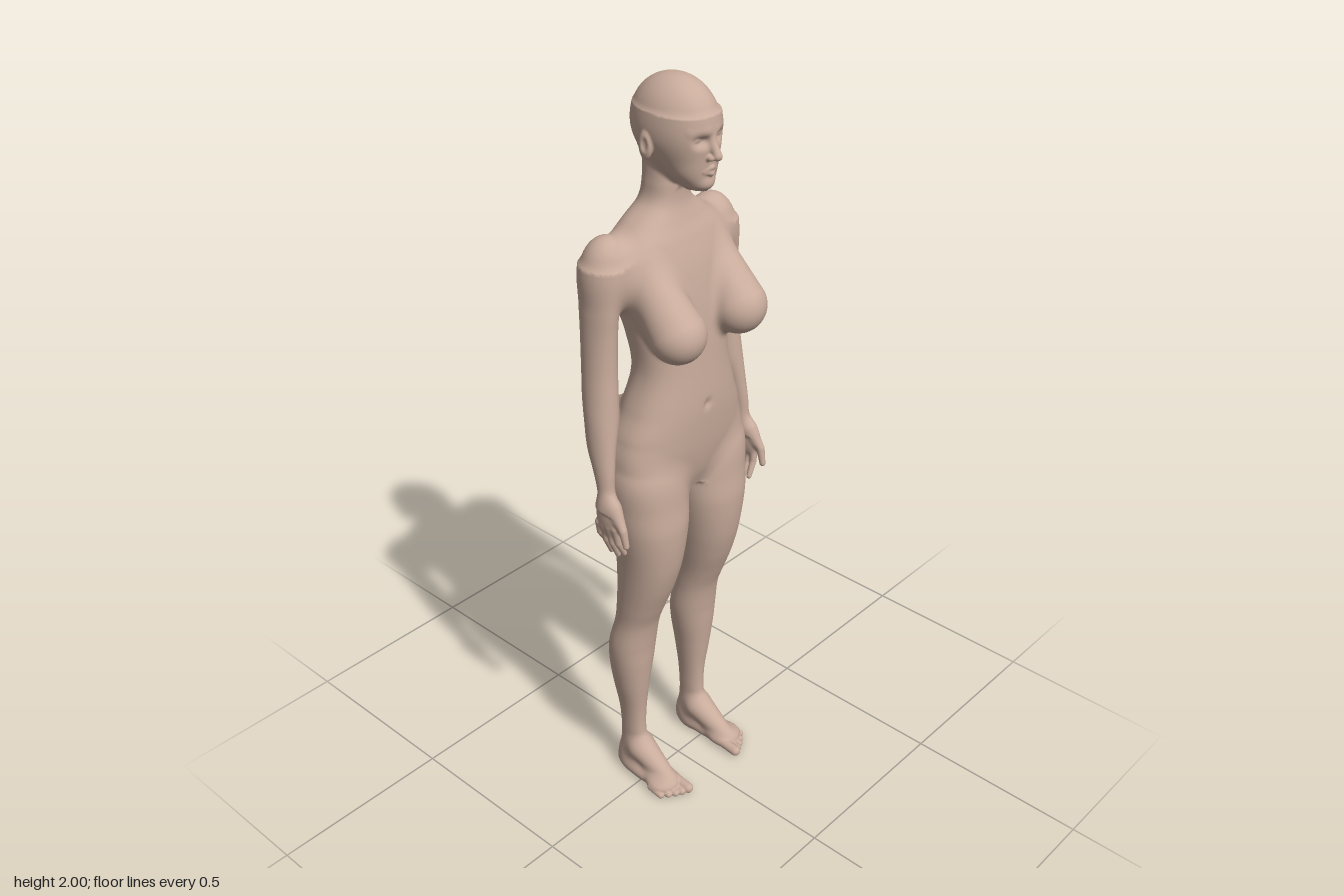
import * as THREE from 'three';

// ---- field helpers: negative inside, positive outside ----
const smin = (a, b, k) => { const h = Math.max(k - Math.abs(a - b), 0) / k; return Math.min(a, b) - h * h * k / 4; };
const smax = (a, b, k) => -smin(-a, -b, k);
const gauss = (t) => Math.exp(-t * t);

const ellipsoid = (x, y, z, c, r) => {
  const u = (x - c[0]) / r[0], v = (y - c[1]) / r[1], w = (z - c[2]) / r[2];
  const k = Math.hypot(u, v, w);
  return k * (k - 1) / (Math.hypot(u / r[0], v / r[1], w / r[2]) + 1e-6);
};

// Tapered capsule from a (radius ra) to b (radius rb)
const cone = (x, y, z, a, b, ra, rb) => {
  const dx = b[0] - a[0], dy = b[1] - a[1], dz = b[2] - a[2];
  const px = x - a[0], py = y - a[1], pz = z - a[2];
  const t = Math.min(1, Math.max(0, (px * dx + py * dy + pz * dz) / (dx * dx + dy * dy + dz * dz)));
  return Math.hypot(px - dx * t, py - dy * t, pz - dz * t) - ra - (rb - ra) * t;
};

// Upright loft through rows of [y, xInner, xOuter, zFront, zBack], rising in y
function loft(rows, n = 2) {
  const slope = rows.map((r, i) => {
    const a = rows[Math.max(i - 1, 0)], b = rows[Math.min(i + 1, rows.length - 1)];
    return r.map((_, c) => (b[c] - a[c]) / (b[0] - a[0]));
  });
  const lo = rows[0][0], hi = rows[rows.length - 1][0], s = [0, 0, 0, 0, 0];
  return (x, y, z) => {
    const yc = Math.min(hi, Math.max(lo, y));
    let i = 0;
    while (i < rows.length - 2 && yc > rows[i + 1][0]) i++;
    const L = rows[i + 1][0] - rows[i][0], t = (yc - rows[i][0]) / L, t2 = t * t, t3 = t2 * t;
    for (let c = 1; c < 5; c++) {
      s[c] = (2 * t3 - 3 * t2 + 1) * rows[i][c] + (t3 - 2 * t2 + t) * L * slope[i][c]
        + (3 * t2 - 2 * t3) * rows[i + 1][c] + (t3 - t2) * L * slope[i + 1][c];
    }
    const rx = (s[2] - s[1]) / 2, rz = (s[3] - s[4]) / 2;
    const u = Math.abs(x - (s[1] + s[2]) / 2) / rx, w = Math.abs(z - (s[3] + s[4]) / 2) / rz;
    const q = n === 2 ? Math.hypot(u, w) : Math.pow(Math.pow(u, n) + Math.pow(w, n), 1 / n);
    return Math.max(q * (q - 1) / (Math.hypot(u / rx, w / rz) + 1e-6), y - hi, lo - y);
  };
}

const centred = (rows) => rows.map(([y, rx, f, b]) => [y, -rx, rx, f, b]);

const torso = loft(centred([
  [0.95, 0.06, 0.06, -0.07], [1.0, 0.14, 0.078, -0.09], [1.06, 0.198, 0.09, -0.1], [1.13, 0.193, 0.097, -0.11],
  [1.2, 0.165, 0.1, -0.1], [1.3, 0.136, 0.095, -0.082], [1.4, 0.145, 0.088, -0.098], [1.48, 0.165, 0.078, -0.118],
  [1.56, 0.182, 0.062, -0.134], [1.62, 0.165, 0.042, -0.127], [1.66, 0.115, 0.025, -0.115],
  [1.7, 0.066, 0.013, -0.098], [1.75, 0.054, 0.012, -0.09], [1.82, 0.052, 0.01, -0.09]]), 2.3);

const leg = loft([
  [0.03, 0.1, 0.145, 0, -0.1], [0.08, 0.095, 0.147, -0.005, -0.1], [0.14, 0.094, 0.147, -0.018, -0.096],
  [0.22, 0.09, 0.152, -0.018, -0.1], [0.32, 0.078, 0.17, -0.008, -0.112], [0.4, 0.064, 0.182, 0, -0.118],
  [0.46, 0.057, 0.185, 0.005, -0.115], [0.54, 0.058, 0.178, 0.018, -0.095], [0.6, 0.055, 0.18, 0.04, -0.088],
  [0.68, 0.043, 0.185, 0.07, -0.085], [0.76, 0.03, 0.192, 0.09, -0.085], [0.865, 0.014, 0.206, 0.1, -0.088],
  [0.93, 0.007, 0.212, 0.096, -0.1], [1.02, 0.006, 0.215, 0.088, -0.1], [1.1, 0.03, 0.19, 0.06, -0.09],
  [1.16, 0.06, 0.15, 0.04, -0.07]], 2.15);

const arm = loft([
  [0.98, 0.234, 0.277, 0.03, -0.028], [1.02, 0.232, 0.272, 0.018, -0.03], [1.07, 0.226, 0.271, 0.015, -0.045],
  [1.13, 0.21, 0.27, 0.01, -0.07], [1.2, 0.188, 0.267, 0.005, -0.085], [1.26, 0.182, 0.262, 0, -0.095],
  [1.33, 0.178, 0.256, -0.005, -0.1], [1.42, 0.175, 0.251, -0.005, -0.105], [1.5, 0.168, 0.248, 0, -0.11],
  [1.58, 0.14, 0.24, 0, -0.11]]);

const face = loft(centred([
  [1.748, 0.024, 0.084, 0.02], [1.762, 0.038, 0.094, 0], [1.79, 0.056, 0.099, -0.03],
  [1.83, 0.069, 0.103, -0.075], [1.87, 0.078, 0.102, -0.1], [1.92, 0.078, 0.1, -0.1]]), 2.2);

function head(x, y, z) {
  let d = smin(face(x, y, z), ellipsoid(x, y, z, [0, 1.89, -0.009], [0.085, 0.109, 0.114]), 0.02);
  d = smax(d, -ellipsoid(x, y, z, [0.034, 1.872, 0.112], [0.023, 0.013, 0.022]), 0.016);                   // eye sockets
  d = smin(d, cone(x, y, z, [0.012, 1.893, 0.094], [0.045, 1.893, 0.077], 0.008, 0.006), 0.014);           // brow
  d = smin(d, ellipsoid(x, y, z, [0.033, 1.875, 0.076], [0.015, 0.012, 0.016]), 0.003);                    // eyes
  d = smin(d, cone(x, y, z, [0, 1.882, 0.097], [0, 1.836, 0.118], 0.007, 0.011), 0.01);                    // nose
  d = smin(d, ellipsoid(x, y, z, [0.012, 1.832, 0.107], [0.007, 0.007, 0.01]), 0.006);
  d = smin(d, cone(x, y, z, [0, 1.806, 0.102], [0.02, 1.8, 0.094], 0.006, 0.003), 0.005);                  // lips
  d = smin(d, cone(x, y, z, [0, 1.793, 0.101], [0.018, 1.797, 0.094], 0.007, 0.003), 0.005);
  d = smax(d, -cone(x, y, z, [0, 1.8, 0.112], [0.021, 1.799, 0.102], 0.003, 0.002), 0.004);
  d = smin(d, ellipsoid(x, y, z, [0, 1.767, 0.085], [0.018, 0.014, 0.014]), 0.015);                        // chin
  const ear = smax(ellipsoid(x, y, z, [0.085, 1.85, -0.02], [0.011, 0.033, 0.019]),
    -ellipsoid(x, y, z, [0.098, 1.855, -0.016], [0.008, 0.018, 0.01]), 0.004);
  return smin(d, ear, 0.006);
}

function hand(x, y, z) {
  let d = ellipsoid(x, y, z, [0.258, 0.955, 0.008], [0.019, 0.056, 0.04]);
  const reach = [0.85, 0.836, 0.84, 0.866];
  for (let i = 0; i < 4; i++) {                                                                            // fingers
    const kz = 0.034 - i * 0.019, tz = 0.038 - i * 0.022, tip = reach[i];
    const mid = [0.257, (0.925 + tip) / 2, (kz + tz) / 2];
    const f = Math.min(cone(x, y, z, [0.263, 0.93, kz], mid, 0.0105, 0.009), cone(x, y, z, mid, [0.239, tip, tz], 0.009, 0.007));
    d = smin(d, f, 0.006);
  }
  const thumb = Math.min(cone(x, y, z, [0.256, 0.985, 0.025], [0.261, 0.935, 0.057], 0.016, 0.011),
    cone(x, y, z, [0.261, 0.935, 0.057], [0.26, 0.893, 0.066], 0.011, 0.008));
  return smin(d, thumb, 0.01);
}

function foot(x, y, z) {
  let d = cone(x, y, z, [0.12, 0.085, -0.03], [0.122, 0.03, 0.07], 0.04, 0.025);                           // instep
  d = smin(d, ellipsoid(x, y, z, [0.12, 0.04, -0.06], [0.034, 0.052, 0.046]), 0.02);                       // heel
  d = smin(d, ellipsoid(x, y, z, [0.127, 0.018, 0.0], [0.037, 0.028, 0.1]), 0.02);                         // sole
  d = smin(d, ellipsoid(x, y, z, [0.131, 0.02, 0.062], [0.046, 0.023, 0.045]), 0.015);                     // ball
  for (let i = 0; i < 5; i++) {                                                                            // toes
    const r = i ? 0.0105 - i * 0.0005 : 0.0145, tx = 0.101 + 0.0168 * i + (i ? 0.002 : 0);
    d = smin(d, cone(x, y, z, [tx, r + 0.006, 0.075 - i * 0.006], [tx, r, 0.13 - i * 0.005 - i * i * 0.0012], r, r), 0.005);
  }
  return d;
}

// Whole figure, mirrored about x = 0
function figure(px, y, z) {
  const x = Math.abs(px);
  let d = 1;
  if (y > 0.9) {
    d = torso(x, y, z);
    if (z < -0.02) d += 0.014 * gauss(x / 0.024) * gauss((y - 1.42) / 0.16);                               // spine groove
    else d += 0.006 * gauss(x / 0.012) * gauss((y - 1.2) / 0.012);                                         // navel
    d = smin(d, cone(x, y, z, [0.11, 1.56, -0.01], [0.108, 1.428, 0.097], 0.052, 0.07), 0.025);            // bust
    d = smin(d, ellipsoid(x, y, z, [0.092, 1.075, -0.065], [0.102, 0.12, 0.102]), 0.022);                  // seat
  }
  if (y < 1.25) d = smin(d, leg(x, y, z), 0.02);
  if (y < 0.2) d = Math.max(smin(d, foot(x, y, z), 0.02), -y);
  if (y > 1.68) d = smin(d, head(x, y, z), 0.02);
  if (y > 0.75) {
    let a = arm(x, y, z);
    if (y > 1.35) a = smin(a, ellipsoid(x, y, z, [0.178, 1.565, -0.058], [0.066, 0.088, 0.062]), 0.03);    // shoulder
    if (y < 1.08) a = smin(a, hand(x, y, z), 0.02);
    d = smin(d, a, 0.001 + 0.03 * Math.min(1, Math.max(0, (y - 1.36) / 0.12)));
  }
  return d;
}

const gradient = (p, e = 0.001) => [0, 1, 2].map((a) => {
  const u = [...p], v = [...p];
  u[a] += e; v[a] -= e;
  return (figure(...u) - figure(...v)) / (2 * e);
});

// Wraps the figure inside a box with a smooth quad mesh of cell size h
function skin(min, max, h, skip = () => false) {
  const n = min.map((m, a) => Math.ceil((max[a] - m) / h) + 1), step = [1, n[0], n[0] * n[1]];
  const val = new Float32Array(n[0] * n[1] * n[2]), id = new Int32Array(val.length).fill(-1);
  const pos = [], nor = [], index = [];
  const each = (fn) => {
    for (let k = 0, o = 0; k < n[2]; k++) for (let j = 0; j < n[1]; j++) for (let i = 0; i < n[0]; i++, o++) fn(o, [i, j, k]);
  };
  each((o, c) => { val[o] = figure(min[0] + c[0] * h, min[1] + c[1] * h, min[2] + c[2] * h); });
  each((o, c) => {
    if (c.some((v, a) => v >= n[a] - 1)) return;
    const sum = [0, 0, 0];
    let hits = 0;
    for (let q = 0; q < 8; q++) for (let a = 0; a < 3; a++) {
      if (q >> a & 1) continue;
      const bits = [q & 1, q >> 1 & 1, q >> 2 & 1];
      const s = o + bits[0] + bits[1] * step[1] + bits[2] * step[2], f = val[s], g = val[s + step[a]];
      if ((f < 0) === (g < 0)) continue;
      bits[a] = f / (f - g);
      bits.forEach((b, m) => { sum[m] += b; });
      hits++;
    }
    if (!hits) return;
    const p = sum.map((v, a) => min[a] + (c[a] + v / hits) * h);
    if (skip(...p)) return;
    const g = gradient(p), m = g[0] ** 2 + g[1] ** 2 + g[2] ** 2 + 1e-6;
    const move = Math.max(-h / 2, Math.min(h / 2, figure(...p) / Math.sqrt(m)));
    const out = p.map((v, a) => v - move * g[a] / Math.sqrt(m));
    id[o] = pos.length / 3;
    pos.push(...out);
    const e = gradient(out, h / 3), len = Math.hypot(...e) || 1;
    nor.push(e[0] / len, e[1] / len, e[2] / len);
  });
  each((o, c) => {
    for (let a = 0; a < 3; a++) {
      const b = (a + 1) % 3, d = (a + 2) % 3;
      if (c[a] >= n[a] - 1 || !c[b] || !c[d] || (val[o] < 0) === (val[o + step[a]] < 0)) continue;
      const q = [id[o], id[o - step[b]], id[o - step[b] - step[d]], id[o - step[d]]];
      if (q.some((v) => v < 0)) continue;
      if (val[o] >= 0) q.reverse();
      index.push(q[0], q[1], q[2], q[0], q[2], q[3]);
    }
  });
  const geo = new THREE.BufferGeometry();
  geo.setAttribute('position', new THREE.Float32BufferAttribute(pos, 3));
  geo.setAttribute('normal', new THREE.Float32BufferAttribute(nor, 3));
  geo.setIndex(index);
  return geo;
}

export function createModel() {
  const group = new THREE.Group();
  const material = new THREE.MeshStandardMaterial({ color: 0xc8ab9b });
  material.name = 'skin';
  const add = (name, geo) => {
    const mesh = new THREE.Mesh(geo, material);
    mesh.name = name;
    group.add(mesh);
  };
  add('body', skin([-0.3, 0.096, -0.196], [0.3, 1.745, 0.196], 0.008, (x, y) => y < 1.0 && Math.abs(x) > 0.219));
  add('head', skin([-0.11, 1.73, -0.14], [0.11, 2.012, 0.15], 0.0042));
  for (const [side, s] of [['left', 1], ['right', -1]]) {
    const part = (x0, x1, y0, y1, z0, z1) => skin([s > 0 ? x0 : -x1, y0, z0], [s > 0 ? x1 : -x0, y1, z1], 0.004);
    add(side + 'Hand', part(0.219, 0.295, 0.815, 1.012, -0.06, 0.09));
    add(side + 'Foot', part(0.07, 0.195, -0.01, 0.112, -0.125, 0.16));
  }
  return group;
}
